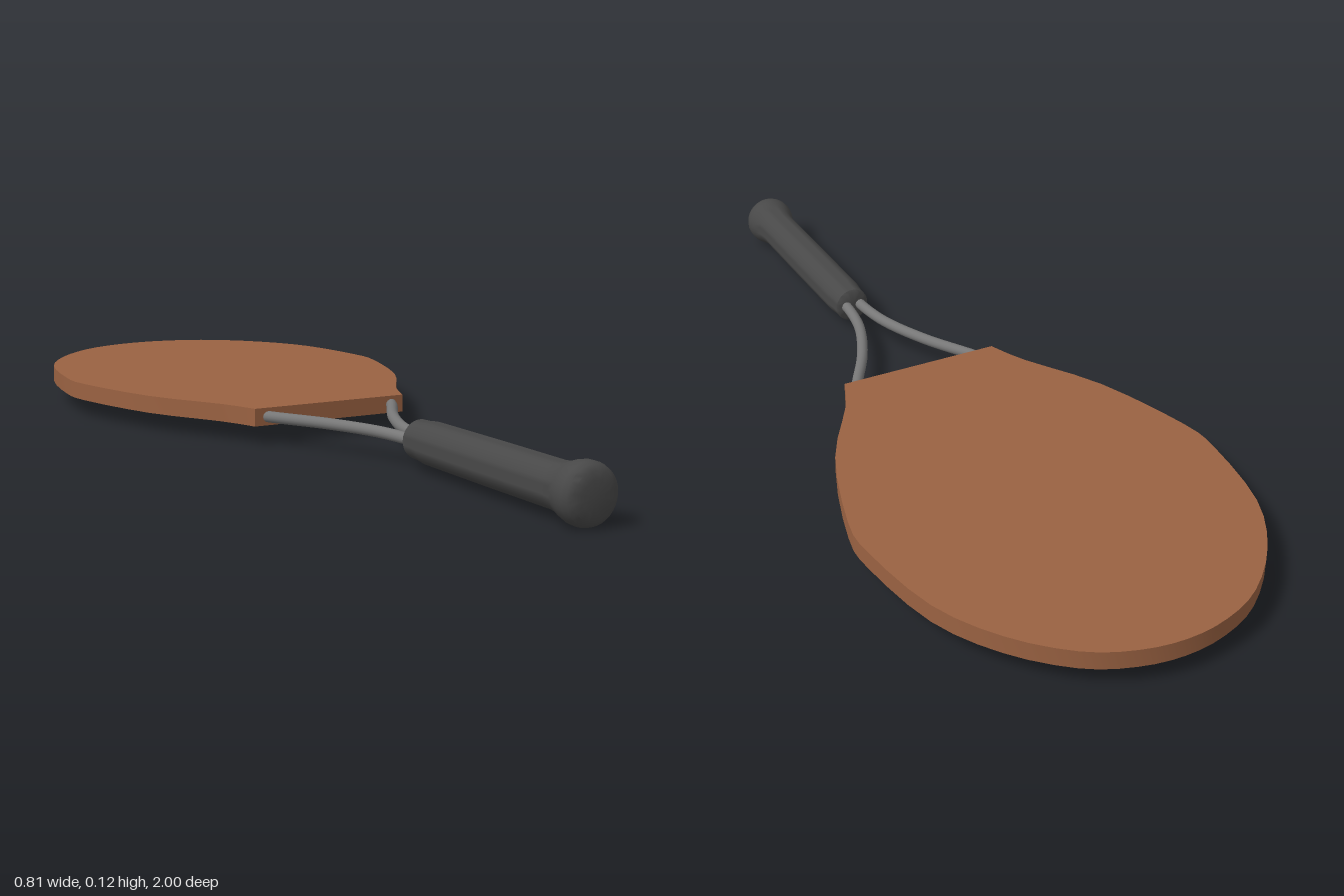
import * as THREE from 'three';
import { toCreasedNormals } from 'three/addons/utils/BufferGeometryUtils.js';

const MID_Y = 0.061;
const GRIP_X = 0.004;

function material(color) {
  return new THREE.MeshStandardMaterial({ color });
}

function addMesh(parent, name, geometry, mat) {
  const mesh = new THREE.Mesh(geometry, mat);
  mesh.name = name;
  parent.add(mesh);
  return mesh;
}

// Flat solid head: a mirrored egg outline cut straight at the throat.
function headGeometry() {
  const half = [
    [0.187, -0.07], [0.225, 0.02], [0.325, 0.19], [0.395, 0.41], [0.4, 0.52],
    [0.365, 0.71], [0.29, 0.845], [0.19, 0.942], [0.095, 0.986],
  ];
  const points = [
    ...half.map(([x, y]) => new THREE.Vector2(x, y)),
    new THREE.Vector2(0, 1),
    ...half.map(([x, y]) => new THREE.Vector2(-x, y)).reverse(),
  ];
  const outline = new THREE.SplineCurve(points).getPoints(54);
  const geometry = new THREE.ExtrudeGeometry(new THREE.Shape(outline), {
    depth: 0.039, bevelEnabled: false,
  });
  geometry.rotateX(-Math.PI / 2);
  geometry.translate(0, 0.042, 0);
  return toCreasedNormals(geometry, Math.PI / 6);
}

// Grip with a slightly tapered collar and a flared, rounded butt.
function gripGeometry() {
  const profile = [
    [0, 0.43], [0.036, 0.43], [0.041, 0.434], [0.042, 0.46], [0.045, 0.485],
    [0.046, 0.7], [0.046, 0.9], [0.049, 0.925], [0.056, 0.945], [0.06, 0.962],
    [0.06, 0.978], [0.056, 0.99], [0.046, 0.997], [0.03, 1], [0, 1],
  ].map(([r, z]) => new THREE.Vector2(r, z));
  const geometry = new THREE.LatheGeometry(profile, 32);
  geometry.rotateX(Math.PI / 2);
  return toCreasedNormals(geometry, Math.PI / 4);
}

export function createModel() {
  const model = new THREE.Group();
  model.name = 'racket';

  addMesh(model, 'head', headGeometry(), material(0x9a6242));

  const grip = addMesh(model, 'grip', gripGeometry(), material(0x484848));
  grip.position.set(GRIP_X, MID_Y, 0);

  // Two curved rods join the throat to the grip.
  const rodMaterial = material(0x777777);
  for (const side of [-1, 1]) {
    const path = new THREE.CatmullRomCurve3([
      [0.162, 0.055], [0.148, 0.085], [0.082, 0.2], [0.034, 0.32], [0.019, 0.41], [0.018, 0.46],
    ].map(([x, z]) => new THREE.Vector3(side * x + GRIP_X * 0.5, MID_Y, z)));
    addMesh(model, side > 0 ? 'leftRod' : 'rightRod',
      new THREE.TubeGeometry(path, 32, 0.0125, 16), rodMaterial);
  }

  return model;
}
